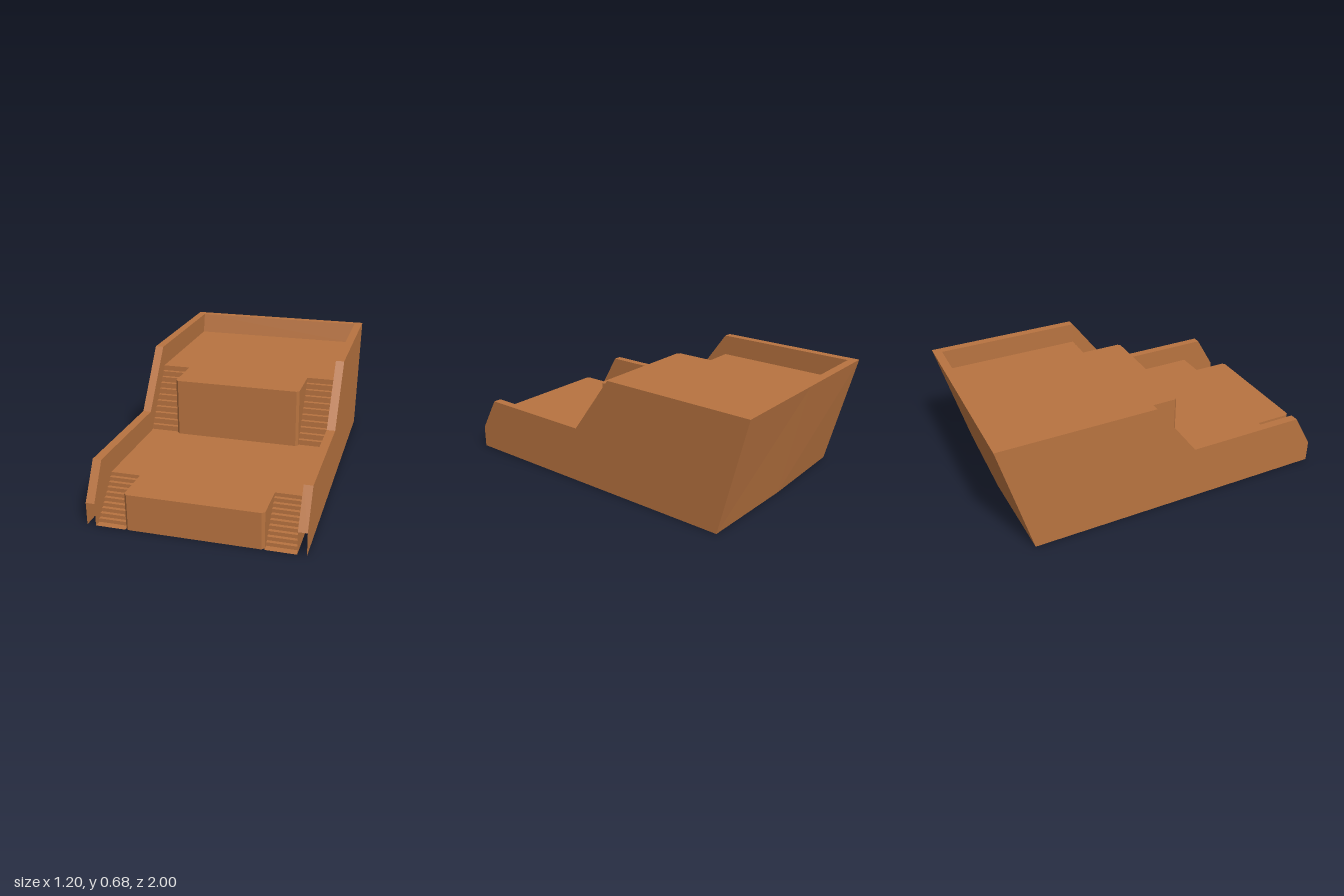
import * as THREE from 'three';

const material = new THREE.MeshStandardMaterial({ color: 0xb87340, side: THREE.DoubleSide, flatShading: true });

function mesh(name, geometry) {
  const m = new THREE.Mesh(geometry, material);
  m.name = name;
  return m;
}

// Strip of quads between two matching polylines of [x, y, z] points
function ribbon(name, a, b) {
  const pos = [];
  for (let i = 0; i < a.length - 1; i++) {
    pos.push(...a[i], ...b[i], ...b[i + 1], ...a[i], ...b[i + 1], ...a[i + 1]);
  }
  const g = new THREE.BufferGeometry();
  g.setAttribute('position', new THREE.Float32BufferAttribute(pos, 3));
  g.computeVertexNormals();
  return mesh(name, g);
}

const flat = (pts) => new THREE.ShapeGeometry(new THREE.Shape(pts.map((p) => new THREE.Vector2(...p))));

// Horizontal sheet from [x, z] points
function floor(name, pts, y) {
  const g = flat(pts.map(([x, z]) => [x, -z]));
  g.rotateX(-Math.PI / 2);
  return mesh(name, g.translate(0, y, 0));
}

// Upright side sheet from [z, y] points
function sideSheet(name, pts, x) {
  const g = flat(pts.map(([z, y]) => [-z, y]));
  g.rotateY(Math.PI / 2);
  return mesh(name, g.translate(x, 0, 0));
}

const OUT = 0.6, IN = 0.55, STAIR = 0.38, CH = 0.015;
const LOW = 0.21, HIGH = 0.555, TOP = 0.68;

// Plan of a terrace front, notched at both corners for the stairs
function frontEdge(zBack, zFront) {
  const half = [[IN, zBack], [STAIR, zBack], [STAIR, zFront - CH], [STAIR - CH, zFront]];
  return [...half.map(([x, z]) => [-x, z]), ...half.reverse()];
}

// Stair sheet: n risers descending toward the front, ending in a landing
function stairs(name, side, z0, z1, yTop, yBottom, n) {
  const prof = [[z0, yTop]];
  const depth = (z1 - z0) / n, rise = (yTop - yBottom) / n;
  for (let i = 0; i < n; i++) {
    const y = yTop - rise * (i + 1);
    prof.push([z0 + depth * i, y]);
    prof.push([z0 + depth * (i + 1), y]);
  }
  return ribbon(name,
    prof.map(([z, y]) => [side * STAIR, y, z]),
    prof.map(([z, y]) => [side * IN, y, z]));
}

export function createModel() {
  const group = new THREE.Group();
  group.name = 'terracedBox';

  // Terraces and their front faces
  const lowEdge = frontEdge(0.77, 1), highEdge = frontEdge(-0.095, 0.165);
  group.add(floor('lowerTerrace', [...lowEdge, ...[...highEdge].reverse()], LOW));
  group.add(floor('upperTerrace', [...highEdge, [IN, -0.92], [-IN, -0.92]], HIGH));
  const riser = (name, edge, y0, y1) => ribbon(name,
    edge.map(([x, z]) => [x, y1, z]), edge.map(([x, z]) => [x, y0, z]));
  group.add(riser('lowerRiser', lowEdge, 0, LOW));
  group.add(riser('upperRiser', highEdge, LOW, HIGH));

  // Stepped wall top, shared by outer skin, inner skin and rim
  const crest = [[1, 0.13], [0.88, 0.335], [0.165, 0.335], [-0.09, TOP]];
  for (const s of [-1, 1]) {
    const side = s > 0 ? 'left' : 'right';
    group.add(sideSheet(side + 'OuterWall', [[1, 0], ...crest, [-1, TOP], [-0.825, 0]], s * OUT));
    group.add(sideSheet(side + 'InnerWall', [[1, 0], ...crest, [-0.95, TOP], [-0.92, HIGH],
      [-0.095, HIGH], [-0.095, LOW], [0.77, LOW], [0.77, 0]], s * IN));
    const outer = [...crest, [-1, TOP]], inner = [...crest, [-0.95, TOP]];
    group.add(ribbon(side + 'WallRim',
      outer.map(([z, y]) => [s * OUT, y, z]), inner.map(([z, y]) => [s * IN, y, z])));

    group.add(stairs(side + 'LowerStairs', s, 0.77, 0.98, LOW, 0, 10));
    group.add(floor(side + 'LowerLanding',
      [[s * STAIR, 0.98], [s * IN, 0.98], [s * IN, 1], [s * STAIR, 1]], 0));
    group.add(stairs(side + 'UpperStairs', s, -0.095, 0.165, HIGH, LOW + 0.001, 11));
  }

  // Leaning back wall, slightly bowed at the foot
  group.add(ribbon('backOuterWall',
    [[-OUT, TOP, -1], [0, TOP, -1], [OUT, TOP, -1]],
    [[-OUT, 0, -0.825], [0, 0, -0.84], [OUT, 0, -0.825]]));
  group.add(ribbon('backRim',
    [[-OUT, TOP, -1], [OUT, TOP, -1]], [[-IN, TOP, -0.95], [IN, TOP, -0.95]]));
  group.add(ribbon('backInnerWall',
    [[-IN, TOP, -0.95], [IN, TOP, -0.95]], [[-IN, HIGH, -0.92], [IN, HIGH, -0.92]]));

  return group;
}
